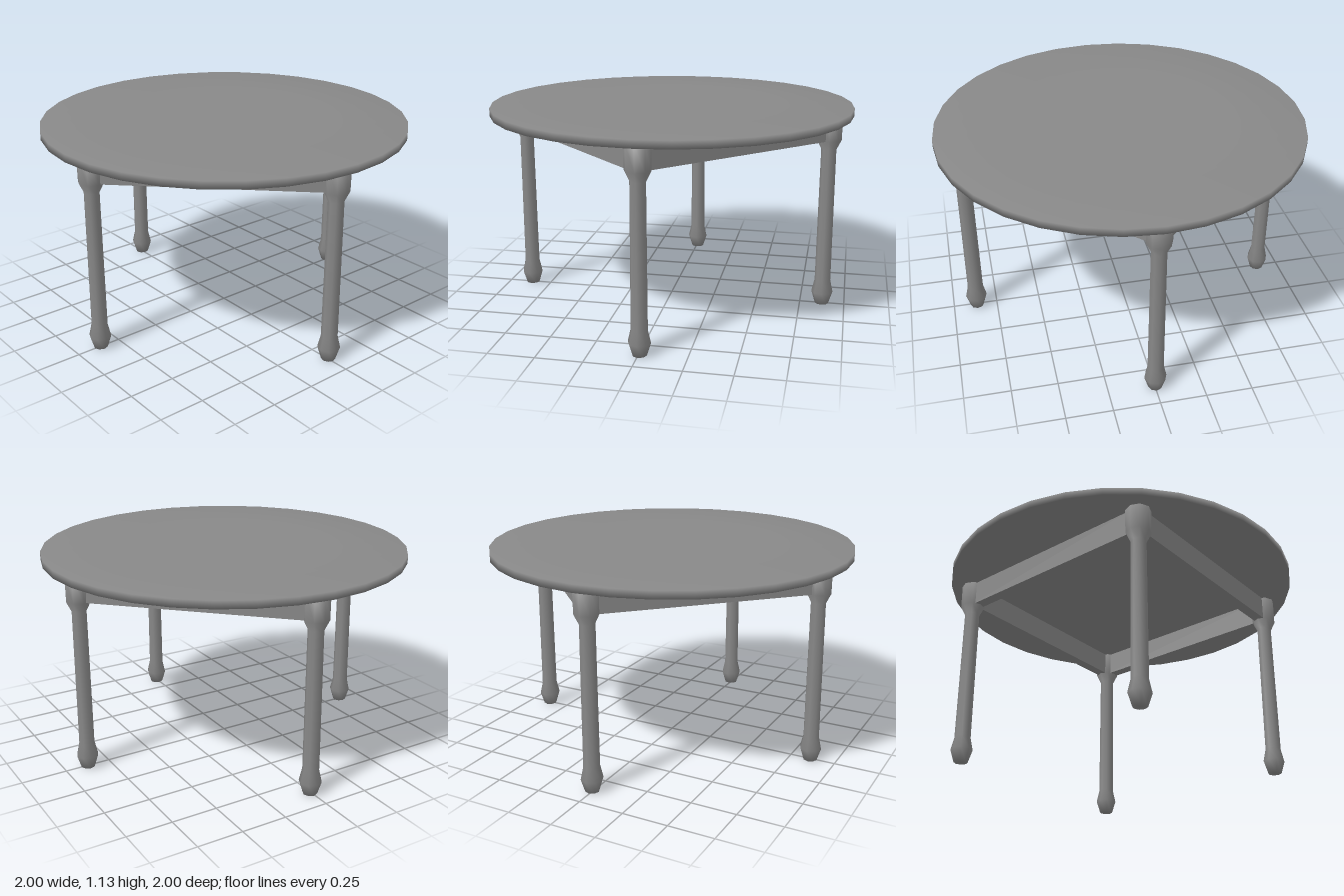
import * as THREE from 'three';

const material = new THREE.MeshStandardMaterial({ color: 0x888888 });
const LEG_RADIUS = 0.867; // distance of each leg from the base centre

// Softly shaded turned solid from [radius, height] pairs, listed bottom to top
function turned(profile, sides) {
  return new THREE.LatheGeometry(profile.map(([r, y]) => new THREE.Vector2(r, y)), sides);
}

function addMesh(parent, name, geometry) {
  const mesh = new THREE.Mesh(geometry, material);
  mesh.name = name;
  parent.add(mesh);
  return mesh;
}

export function createModel() {
  const table = new THREE.Group();
  table.name = 'roundTable';

  // Round top: flat, with shading that rolls off towards the rim
  addMesh(table, 'tableTop', turned([
    [0, 1.088], [0.65, 1.088], [1, 1.088], [1, 1.13], [0.65, 1.13], [0, 1.13],
  ], 32));

  // Legs and apron sit very slightly off centre under the top
  const base = new THREE.Group();
  base.name = 'base';
  base.position.set(0.006, 0, -0.002);
  table.add(base);

  // Leg: bulbous foot, slim shaft, wide head block
  const legGeometry = turned([
    [0, 0], [0.038, 0], [0.06, 0.07], [0.044, 0.14], [0.041, 0.9],
    [0.067, 0.953], [0.068, 1.09], [0, 1.09],
  ], 8);

  // Apron rail joining two neighbouring legs
  const railGeometry = new THREE.BoxGeometry(LEG_RADIUS * Math.SQRT2 - 0.03, 0.138, 0.06);

  for (let i = 0; i < 4; i++) {
    const angle = (i * Math.PI) / 2;
    const leg = addMesh(base, 'leg', legGeometry);
    leg.position.set(Math.sin(angle) * LEG_RADIUS, 0, Math.cos(angle) * LEG_RADIUS);

    const mid = angle + Math.PI / 4;
    const d = LEG_RADIUS * Math.SQRT1_2;
    const rail = addMesh(base, 'apronRail', railGeometry);
    rail.position.set(Math.sin(mid) * d, 1.021, Math.cos(mid) * d);
    rail.rotation.y = mid;
  }
  return table;
}
